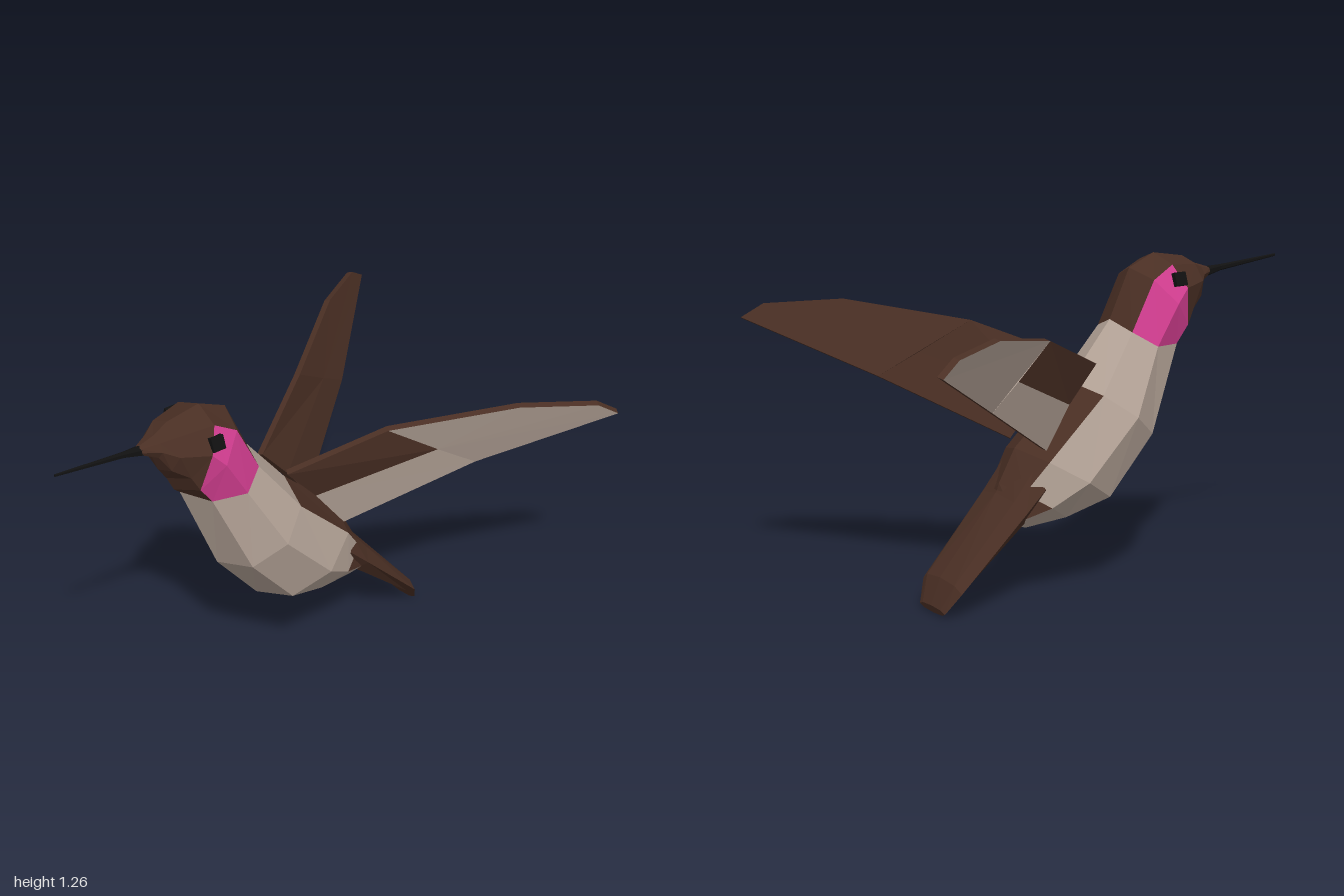
import * as THREE from 'three';

const material = (name, color, extra = {}) =>
  Object.assign(new THREE.MeshStandardMaterial({ color, flatShading: true, ...extra }), { name });

// Ring [topZ, topY, bottomZ, bottomY, halfWidth, sideShiftZ, sideShiftY]
function ringPoints([tz, ty, bz, by, w, sz = 0, sy = 0], n) {
  return Array.from({ length: n }, (_, k) => {
    const a = (k / n) * Math.PI * 2, c = Math.cos(a), s = Math.sin(a);
    return new THREE.Vector3(
      s * w,
      (ty + by) / 2 + c * (ty - by) / 2 + s * s * sy,
      (tz + bz) / 2 + c * (tz - bz) / 2 + s * s * sz);
  });
}

// Mesh from triangles sorted into one list per material
function meshFrom(name, lists, materials) {
  const geo = new THREE.BufferGeometry();
  let start = 0;
  lists.forEach((list, m) => {
    geo.addGroup(start, list.length, m);
    start += list.length;
  });
  geo.setFromPoints(lists.flat());
  geo.computeVertexNormals();
  const mesh = new THREE.Mesh(geo, materials);
  mesh.name = name;
  return mesh;
}

// Skin over rings listed front to back; pick(i, side, half) chooses the material
function loft(name, rings, n, materials, pick = () => 0) {
  const pts = rings.map(r => ringPoints(r, n));
  const lists = materials.map(() => []);
  for (let i = 0; i < pts.length - 1; i++) {
    for (let k = 0; k < n; k++) {
      const a = pts[i][k], b = pts[i][(k + 1) % n];
      const c = pts[i + 1][(k + 1) % n], d = pts[i + 1][k];
      const right = k >= n / 2;
      const side = right ? n - 1 - k : k; // mirrored side index, 0 = along the top
      lists[pick(i, side, 0)].push(...(right ? [a, b, d] : [a, b, c]));
      lists[pick(i, side, 1)].push(...(right ? [b, c, d] : [a, c, d]));
    }
  }
  const first = pts[0], last = pts[pts.length - 1];
  for (let k = 1; k < n - 1; k++) {
    lists[0].push(first[0], first[k + 1], first[k]);
    lists[0].push(last[0], last[k], last[k + 1]);
  }
  return meshFrom(name, lists, materials);
}

// Thin wing: pale underside with a dark root patch, dark back and rim
function wing(name, s, dark, pale) {
  const V = (x, y, z) => new THREE.Vector3(x * s, y, z);
  const A = V(0.09, 0.875, 0.06), B = V(0.27, 1.02, -0.27), C = V(0.55, 1.10, -0.66);
  const D = V(0.705, 1.085, -0.915), E = V(0.735, 1.035, -0.995), F = V(0.40, 0.82, -0.60);
  const G = V(0.125, 0.58, -0.19), P = V(0.345, 0.905, -0.455), Q = V(0.10, 0.735, -0.07);
  const inward = V(-0.021, 0.007, -0.011);
  const back = p => p.clone().add(inward);
  const lists = [[], []];
  const face = (m, poly, flip = false) => {
    const p = (s < 0) !== flip ? [...poly].reverse() : poly;
    for (let k = 1; k < p.length - 1; k++) lists[m].push(p[0], p[k], p[k + 1]);
  };
  const panels = [[0, [A, Q, P, B]], [1, [Q, G, F, P]], [1, [P, F, E, D, C, B]]];
  panels.forEach(([m, poly]) => {
    face(m, poly);
    face(0, poly.map(back), true);
  });
  const rim = [A, Q, G, F, E, D, C, B];
  rim.forEach((p, k) => {
    const q = rim[(k + 1) % rim.length];
    face(0, [p, back(p), back(q), q]);
  });
  return meshFrom(name, lists, [dark, pale]);
}

export function createModel() {
  const brown = material('dark brown', 0x4a2f24);
  const grey = material('warm grey', 0xb5a498);
  const pink = material('magenta', 0xd63f93);
  const black = material('black', 0x111111);
  const bird = new THREE.Group();
  bird.name = 'bird';

  const neck = [0.185, 1.02, 0.485, 0.93, 0.157, -0.037, -0.05];

  // Head with a bright patch on each cheek
  bird.add(loft('head', [
    [0.655, 1.185, 0.65, 1.15, 0.022],
    [0.59, 1.205, 0.60, 1.125, 0.06],
    [0.53, 1.238, 0.575, 1.06, 0.105],
    [0.39, 1.26, 0.54, 1.01, 0.148, -0.02, 0],
    [0.275, 1.21, 0.51, 0.95, 0.16],
    neck,
  ], 8, [brown, pink], (i, side, half) => {
    if (i === 4) return side === 1 || side === 2 ? 1 : 0;
    if (i === 3) return side === 1 || (side === 2 && half === 1) ? 1 : 0;
    return 0;
  }));

  // Body with a dark back
  bird.add(loft('body', [
    neck,
    [0.0, 0.80, 0.325, 0.555, 0.218],
    [-0.25, 0.575, 0.14, 0.335, 0.212],
    [-0.32, 0.45, -0.055, 0.285, 0.16],
    [-0.34, 0.39, -0.245, 0.272, 0.125],
  ], 8, [grey, brown], (i, side) =>
    (i >= 1 && side === 0) || (i >= 3 && side === 1) ? 1 : 0));

  // Tail
  bird.add(loft('tail', [
    [-0.25, 0.53, -0.17, 0.35, 0.15],
    [-0.335, 0.415, -0.26, 0.30, 0.152],
    [-0.58, 0.13, -0.56, 0.06, 0.137],
    [-0.62, 0.03, -0.61, 0.0, 0.09],
  ], 8, [brown]));

  // Beak
  bird.add(loft('beak', [
    [1.0, 1.211, 1.0, 1.2, 0.004],
    [0.72, 1.189, 0.72, 1.164, 0.012],
    [0.63, 1.186, 0.63, 1.14, 0.025],
  ], 6, [black]));

  // Eyes and wings
  for (const [label, s] of [['left', 1], ['right', -1]]) {
    const eye = new THREE.Mesh(new THREE.BoxGeometry(0.03, 0.052, 0.052), black);
    eye.name = label + 'Eye';
    eye.position.set(0.131 * s, 1.168, 0.415);
    eye.rotation.z = 0.35 * s;
    bird.add(eye, wing(label + 'Wing', s, brown, grey));
  }
  return bird;
}
